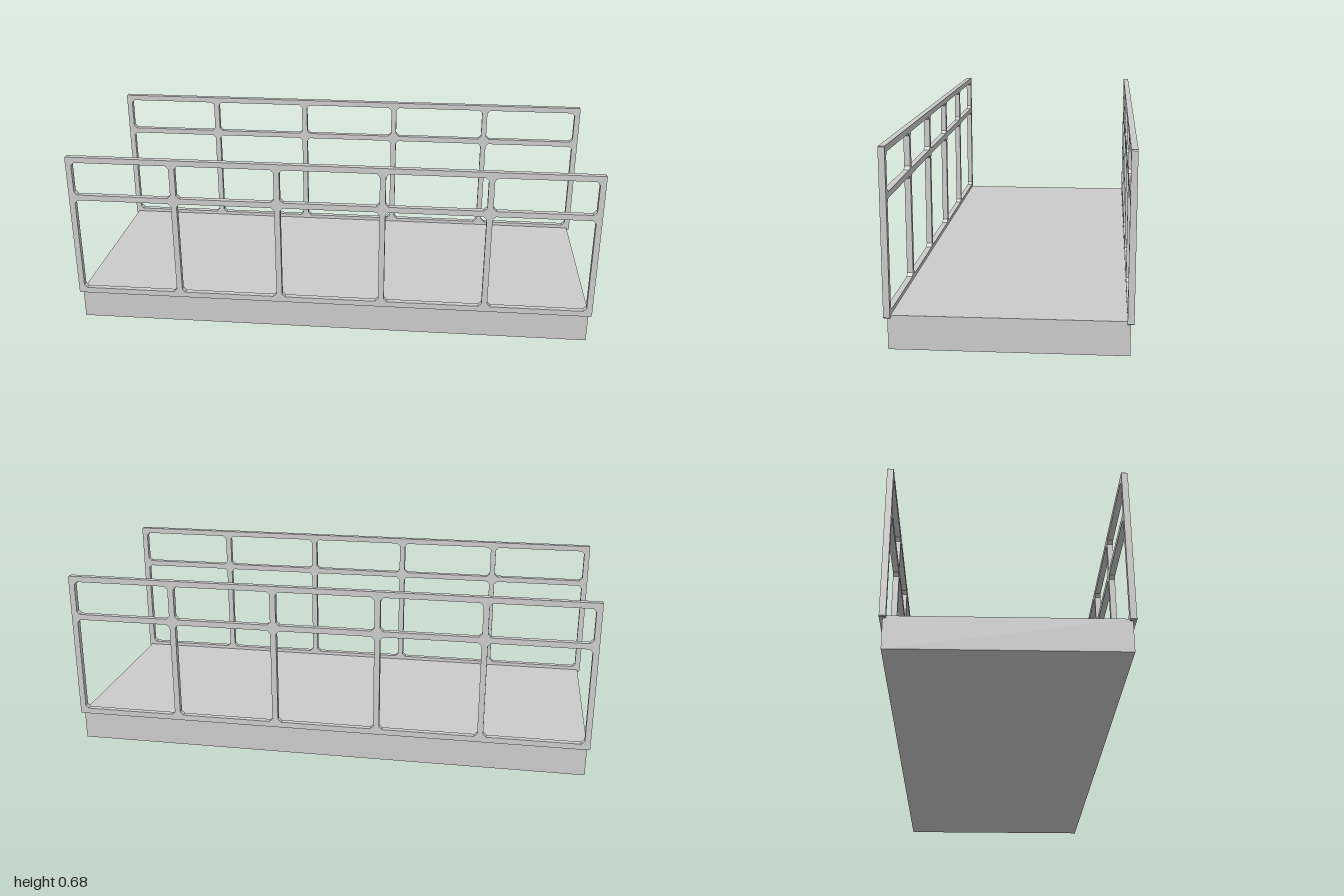
import * as THREE from 'three';

const material = new THREE.MeshStandardMaterial({ color: 0xcccccc, flatShading: true });

const BAR = 0.022;                  // thickness of every rail and post
const DECK = { w: 1.978, h: 0.118, d: 0.796 };
const RAILS = [0.121, 0.518, 0.671]; // centre heights of the rails
const BAYS = 5;

// Rectangle with small clipped corners
function clippedRect(path, x0, y0, x1, y1, c) {
  path.moveTo(x0 + c, y0);
  path.lineTo(x1 - c, y0);
  path.lineTo(x1, y0 + c);
  path.lineTo(x1, y1 - c);
  path.lineTo(x1 - c, y1);
  path.lineTo(x0 + c, y1);
  path.lineTo(x0, y1 - c);
  path.lineTo(x0, y0 + c);
  path.closePath();
  return path;
}

// One side railing: a flat frame with two rows of openings
function railingGeometry() {
  const h = BAR / 2;
  const half = DECK.w / 2;
  const step = DECK.w / BAYS;
  const shape = clippedRect(new THREE.Shape(), -half - h, RAILS[0] - h, half + h, RAILS[2] + h, 0.003);
  for (let row = 0; row < 2; row++) {
    for (let i = 0; i < BAYS; i++) {
      const x = -half + i * step;
      shape.holes.push(clippedRect(new THREE.Path(),
        x + h, RAILS[row] + h, x + step - h, RAILS[row + 1] - h, 0.012));
    }
  }
  const geometry = new THREE.ExtrudeGeometry(shape, { depth: BAR, bevelEnabled: false });
  geometry.translate(0, 0, -h);
  return geometry;
}

export function createModel() {
  const model = new THREE.Group();
  model.name = 'walkway';

  // Solid deck
  const deck = new THREE.Mesh(new THREE.BoxGeometry(DECK.w, DECK.h, DECK.d), material);
  deck.name = 'deck';
  deck.position.y = DECK.h / 2;
  model.add(deck);

  // Railings along both long edges
  const geometry = railingGeometry();
  for (const [name, side] of [['frontRailing', 1], ['backRailing', -1]]) {
    const railing = new THREE.Mesh(geometry, material);
    railing.name = name;
    railing.position.z = side * DECK.d / 2;
    model.add(railing);
  }
  return model;
}
